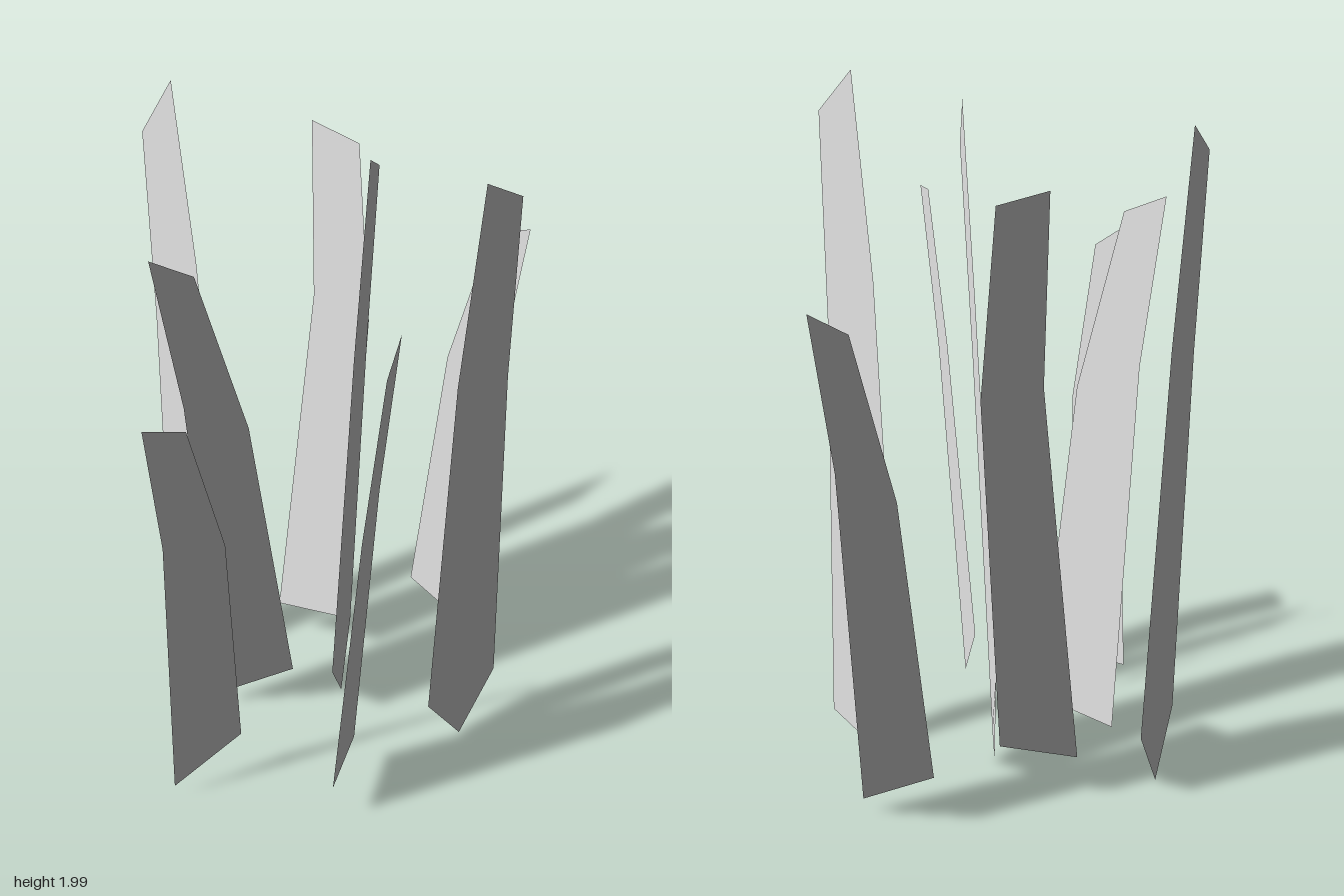
import * as THREE from 'three';

// Blade outlines at base, middle and top: width, and how far the right side rises above the left
const OUTLINES = {
  pointed: { width: [0.291, 0.199, 0.137], rise: [0.04, 0.06, 0.09], baseY: 0.2, footDrop: 0.19 },
  slanted: { width: [0.218, 0.177, 0.117], rise: [0.115, -0.055, -0.04], baseY: 0.115 },
  square: { width: [0.223, 0.168, 0.138], rise: [-0.01, 0.05, 0.045], baseY: 0.15 },
};

// heading turns the blade about y; spine holds the [x, z] centres at base, middle and top
const BLADES = [
  { name: 'frontTallBlade', outline: 'pointed', side: -1, heading: -0.28, height: 1.955,
    spine: [[0.28, 0.305], [0.255, 0.365], [0.268, 0.395]] },
  { name: 'backTallBlade', outline: 'pointed', side: 1, heading: -0.52, height: 1.905,
    spine: [[-0.248, -0.4], [-0.243, -0.463], [-0.26, -0.49]] },
  { name: 'centreBlade', outline: 'pointed', side: -1, heading: -0.88, height: 1.905,
    spine: [[0.053, -0.028], [0.073, 0.035], [0.1, 0.05]] },
  { name: 'backLeftBlade', outline: 'square', side: -1, heading: 0.86, height: 1.785,
    spine: [[0.073, -0.258], [0.183, -0.275], [0.195, -0.333]] },
  { name: 'leftBlade', outline: 'slanted', side: -1, heading: 1.05, height: 1.48,
    spine: [[0.468, -0.13], [0.555, -0.138], [0.625, -0.09]] },
  { name: 'backRightBlade', outline: 'slanted', side: 1, heading: 0.585, height: 1.64,
    spine: [[-0.205, -0.09], [-0.305, -0.093], [-0.4, -0.125]] },
  { name: 'frontShortBlade', outline: 'square', side: 1, heading: -0.79, height: 1.622,
    spine: [[-0.153, 0.363], [-0.133, 0.463], [-0.078, 0.47]] },
  { name: 'rightBlade', outline: 'slanted', side: 1, heading: 0.02, height: 1.44,
    spine: [[-0.483, 0.138], [-0.525, 0.218], [-0.605, 0.254]] },
];

// Ribbon across the spine, wound to face upward, with grass-style upward normals
function bladeGeometry({ outline, side, heading, height, spine }) {
  const { width, rise, baseY, footDrop } = OUTLINES[outline];
  const levels = [baseY, height * 0.7, height];
  const points = [];
  spine.forEach(([x, z], i) => {
    for (const s of [-0.5, 0.5]) {
      points.push(new THREE.Vector3(
        x + s * width[i] * Math.cos(heading),
        levels[i] + s * side * rise[i],
        z + s * width[i] * Math.sin(heading)));
    }
  });
  const index = [0, 1, 3, 0, 3, 2, 2, 3, 5, 2, 5, 4];

  // Pointed foot below the base
  if (footDrop) {
    points.push(new THREE.Vector3(spine[0][0], baseY - footDrop, spine[0][1]));
    index.push(0, 6, 1);
  }

  const across = points[1].clone().sub(points[0]);
  const along = points[3].clone().sub(points[0]);
  if (across.cross(along).y < 0) index.reverse();

  const geometry = new THREE.BufferGeometry().setFromPoints(points);
  const normals = points.flatMap(() => [0, 1, 0]);
  geometry.setAttribute('normal', new THREE.Float32BufferAttribute(normals, 3));
  geometry.setIndex(index);
  return geometry;
}

export function createModel() {
  const group = new THREE.Group();
  group.name = 'grassTuft';
  const material = new THREE.MeshStandardMaterial({ color: 0xcccccc, side: THREE.DoubleSide });
  material.name = 'paleGrey';

  for (const blade of BLADES) {
    const mesh = new THREE.Mesh(bladeGeometry(blade), material);
    mesh.name = blade.name;
    group.add(mesh);
  }
  return group;
}
